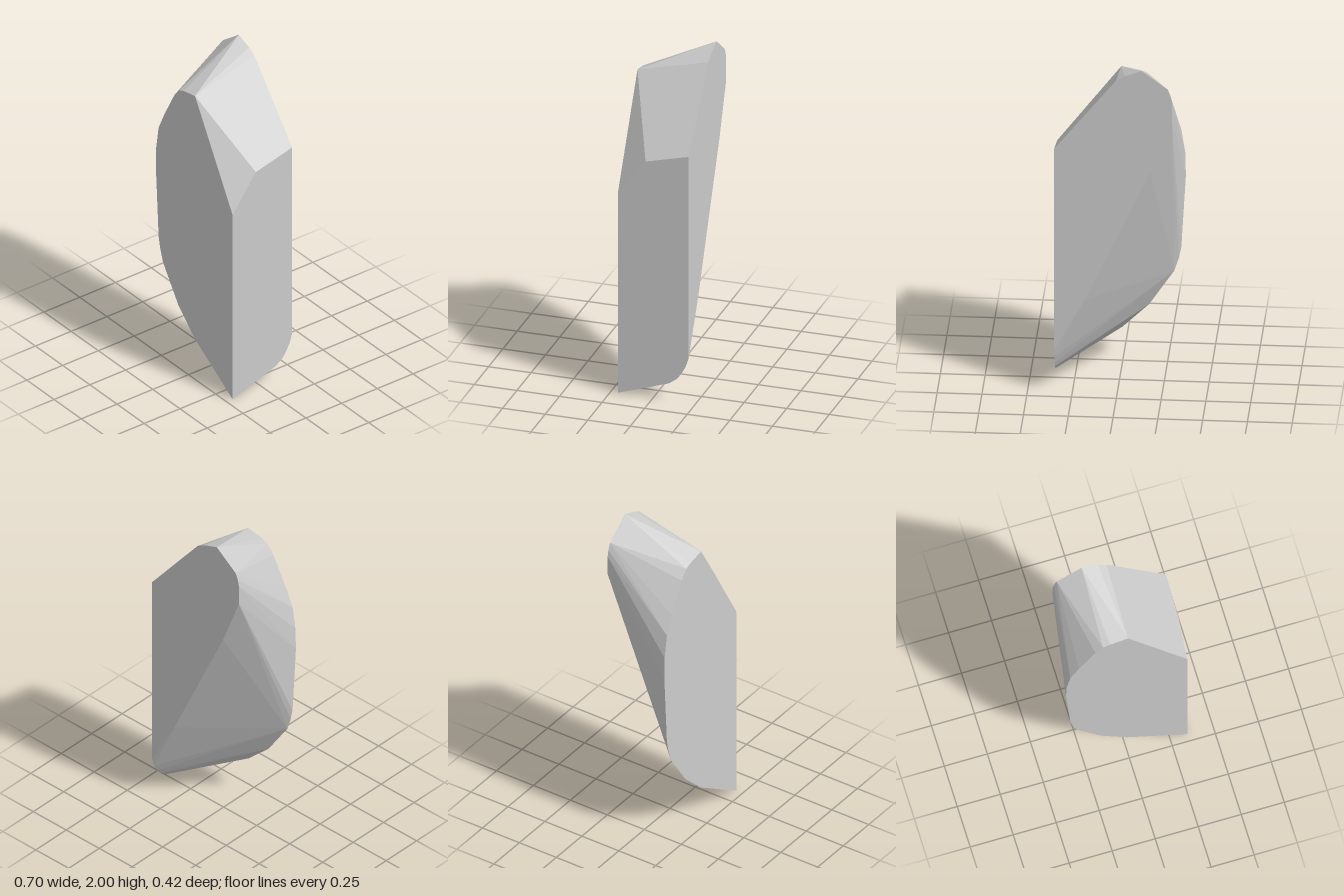
import * as THREE from 'three';
import { ConvexGeometry } from 'three/addons/geometries/ConvexGeometry.js';

const DEPTH = 0.208;

// Outline of the broad front face (x, y)
const frontOutline = [
  [0.35, 0], [0.35, 1.22], [0.005, 1.83], [-0.1, 1.81], [-0.14, 1.795], [-0.185, 1.74],
  [-0.28, 1.56], [-0.33, 1.45], [-0.352, 1.31], [-0.355, 1.17], [-0.33, 0.73],
  [-0.316, 0.66], [-0.29, 0.58], [-0.15, 0.37], [0, 0.225],
];

// Outline of the slanted back face (x, y)
const backOutline = [
  [0.35, 0.27], [0.35, 1.505], [0.005, 1.935], [-0.045, 1.965], [-0.14, 2],
  [-0.285, 1.89], [-0.3, 1.85], [-0.308, 1.81], [-0.308, 1.69], [-0.188, 1.38], [0.182, 0.577],
];

// Extra corners of the flat side at x = 0.35 (z, y)
const sideOutline = [
  [0.045, 1.44], [-0.19, 0.215], [-0.165, 0.17], [-0.14, 0.135], [-0.09, 0.1],
];

export function createModel() {
  const stone = new THREE.MeshStandardMaterial({ color: 0xcccccc });
  stone.name = 'pale grey stone';

  // The shard is the convex solid spanning its three flat faces
  const points = [
    ...frontOutline.map(([x, y]) => new THREE.Vector3(x, y, DEPTH)),
    ...backOutline.map(([x, y]) => new THREE.Vector3(x, y, -DEPTH)),
    ...sideOutline.map(([z, y]) => new THREE.Vector3(0.35, y, z)),
  ];
  const shard = new THREE.Mesh(new ConvexGeometry(points), stone);
  shard.name = 'stoneShard';

  const group = new THREE.Group();
  group.name = 'rockShard';
  group.add(shard);
  return group;
}
